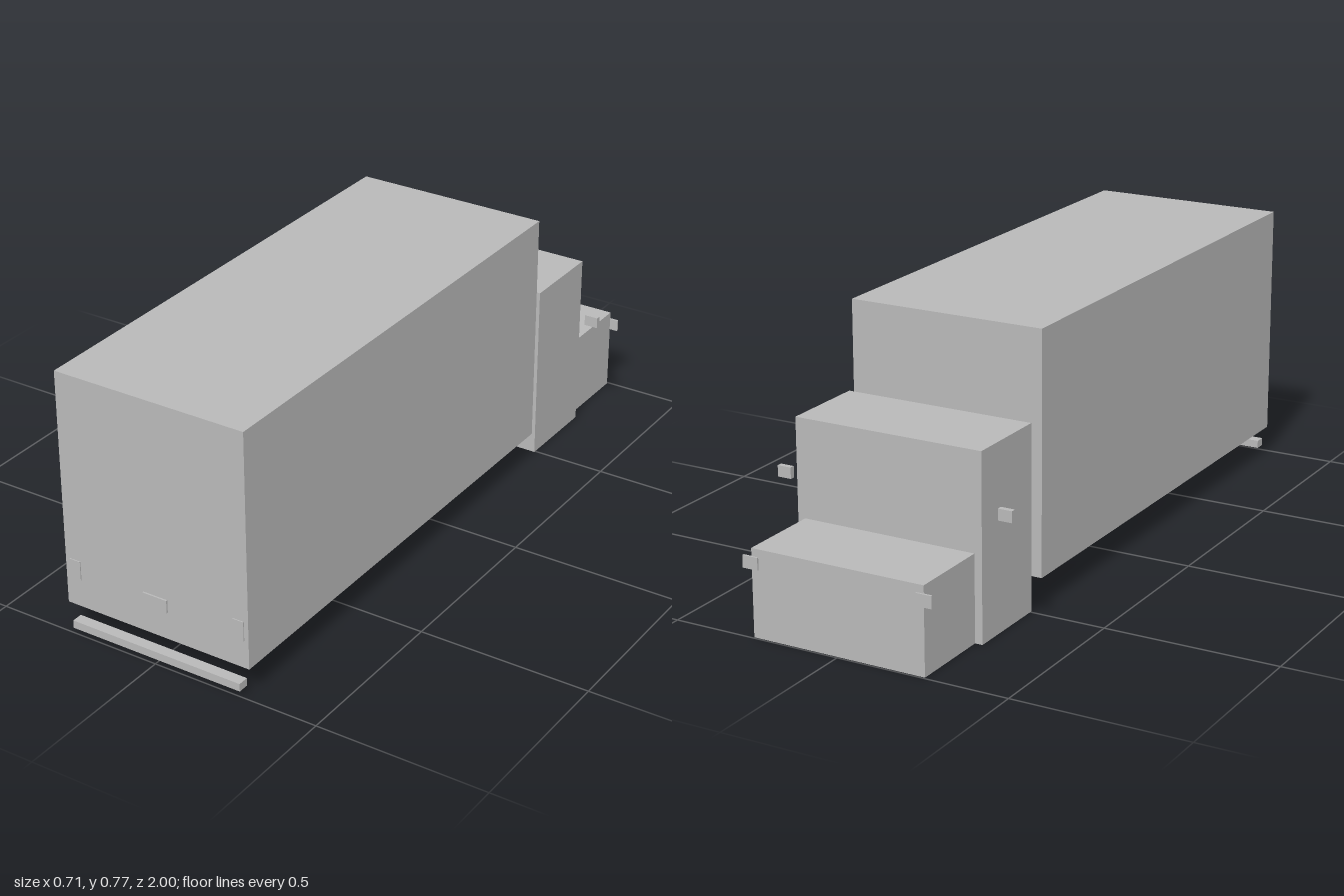
import * as THREE from 'three';

export function createModel() {
  const model = new THREE.Group();
  const grey = new THREE.MeshStandardMaterial({ color: 0xb8b8b8 });
  grey.name = 'grey';

  // Box given by its extents along each axis
  function block(name, [x0, x1], [y0, y1], [z0, z1]) {
    const mesh = new THREE.Mesh(new THREE.BoxGeometry(x1 - x0, y1 - y0, z1 - z0), grey);
    mesh.position.set((x0 + x1) / 2, (y0 + y1) / 2, (z0 + z1) / 2);
    mesh.name = name;
    model.add(mesh);
  }

  // Left and right copies, given by inner and outer distance from the centre
  function pair(name, [inner, outer], y, z) {
    block(name + 'Left', [inner, outer], y, z);
    block(name + 'Right', [-outer, -inner], y, z);
  }

  // Main bodies
  block('cargoBox', [-0.29, 0.29], [0.083, 0.77], [-0.457, 0.987]);
  block('cab', [-0.28, 0.28], [0, 0.525], [-0.75, -0.495]);
  block('hood', [-0.258, 0.258], [0, 0.247], [-0.995, -0.75]);

  // Fittings on the cargo end
  block('bumper', [-0.268, 0.268], [0.015, 0.038], [0.968, 1]);
  block('numberPlate', [-0.038, 0.038], [0.165, 0.202], [0.987, 0.992]);
  pair('tailLight', [0.242, 0.277], [0.165, 0.222], [0.985, 0.99]);

  // Fittings on the cab and hood
  pair('mirror', [0.315, 0.356], [0.34, 0.372], [-0.729, -0.714]);
  pair('headlight', [0.237, 0.283], [0.19, 0.225], [-1, -0.994]);

  return model;
}
